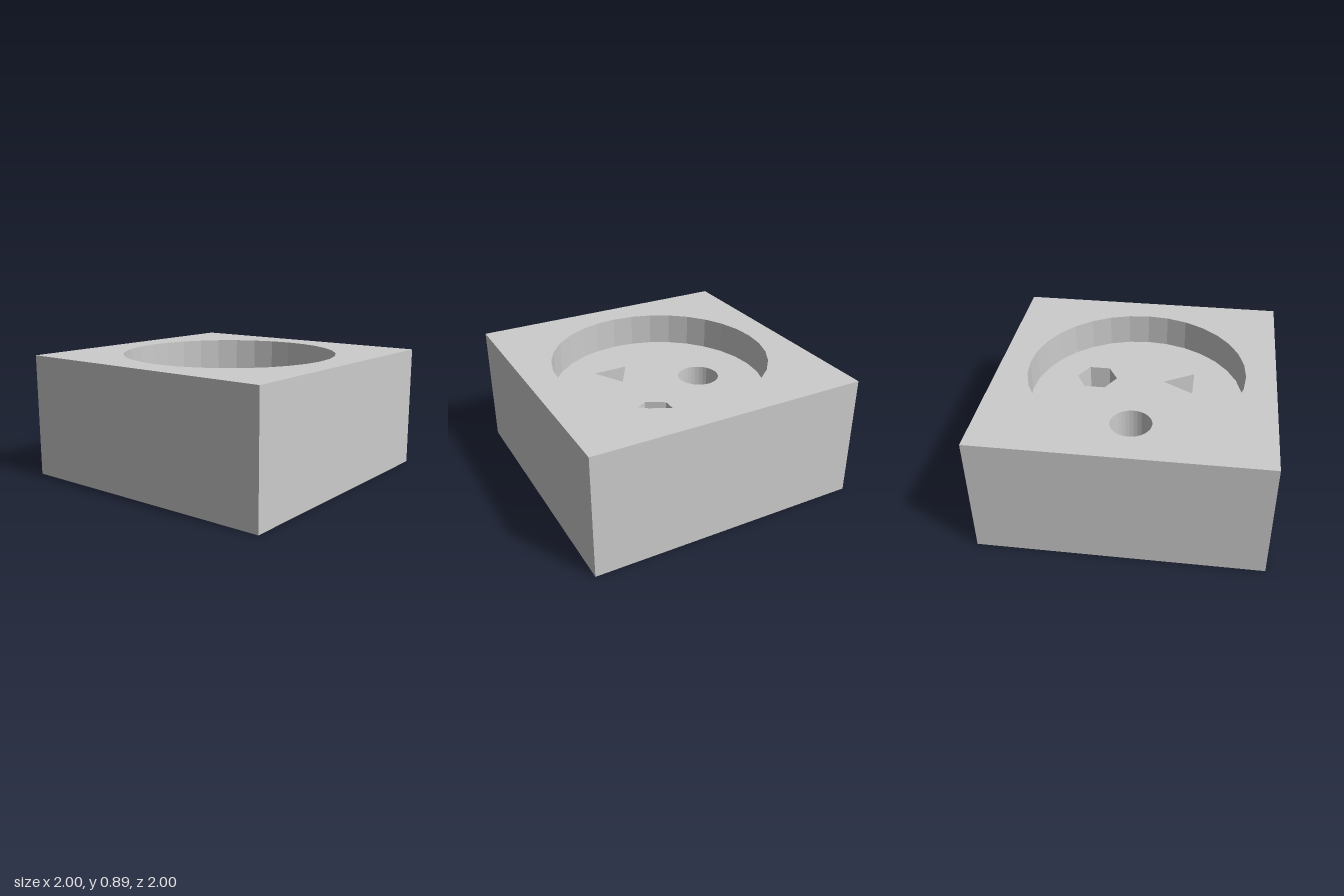
import * as THREE from 'three';

const HEIGHT = 0.893, RECESS_FLOOR = 0.654, HOLE_FLOOR = 0.414;
const material = new THREE.MeshStandardMaterial({ color: 0xcccccc, flatShading: true });

// Regular polygon outline; start is the first corner's angle, 0 = front (+z)
const outline = (sides, radius, x, z, start = 0) => ({ sides, radius, x, z, start });

function points({ sides, radius, x, z, start }) {
  return Array.from({ length: sides }, (_, i) => {
    const a = start + (i / sides) * Math.PI * 2;
    return new THREE.Vector2(x + radius * Math.sin(a), -(z + radius * Math.cos(a)));
  });
}

// Horizontal face at height y, with openings cut out
function face(o, y, openings = [], down = false) {
  const shape = new THREE.Shape(points(o));
  shape.holes = openings.map((h) => new THREE.Path(points(h)));
  const g = new THREE.ShapeGeometry(shape);
  g.rotateX(down ? Math.PI / 2 : -Math.PI / 2);
  return g.translate(0, y, 0);
}

// Upright wall around an outline; inward walls have their triangles reversed
function wall(o, bottom, top, inward) {
  const g = new THREE.CylinderGeometry(o.radius, o.radius, top - bottom, o.sides, 1, true, o.start);
  if (inward) g.index.array.reverse();
  return g.translate(o.x, (top + bottom) / 2, o.z);
}

export function createModel() {
  const model = new THREE.Group();
  const add = (name, ...geometries) => {
    const part = new THREE.Group();
    part.name = name;
    geometries.forEach((g) => part.add(new THREE.Mesh(g, material)));
    model.add(part);
  };

  const block = outline(4, Math.SQRT2, 0, 0, Math.PI / 4);
  const recess = outline(32, 0.785, 0, 0);
  const holes = {
    roundHole: outline(32, 0.152, -0.333, 0),
    hexagonHole: outline(6, 0.152, 0.218, -0.333),
    triangleHole: outline(3, 0.15, 0.218, 0.33, Math.PI),
  };

  // Square block and its top rim
  add('block', wall(block, 0, HEIGHT, false), face(block, HEIGHT, [recess]), face(block, 0, [], true));

  // Wide round recess, its floor pierced by the shaped holes
  add('recess', wall(recess, RECESS_FLOOR, HEIGHT, true), face(recess, RECESS_FLOOR, Object.values(holes)));

  // Blind holes in three shapes
  for (const [name, o] of Object.entries(holes)) {
    add(name, wall(o, HOLE_FLOOR, RECESS_FLOOR, true), face(o, HOLE_FLOOR));
  }
  return model;
}
